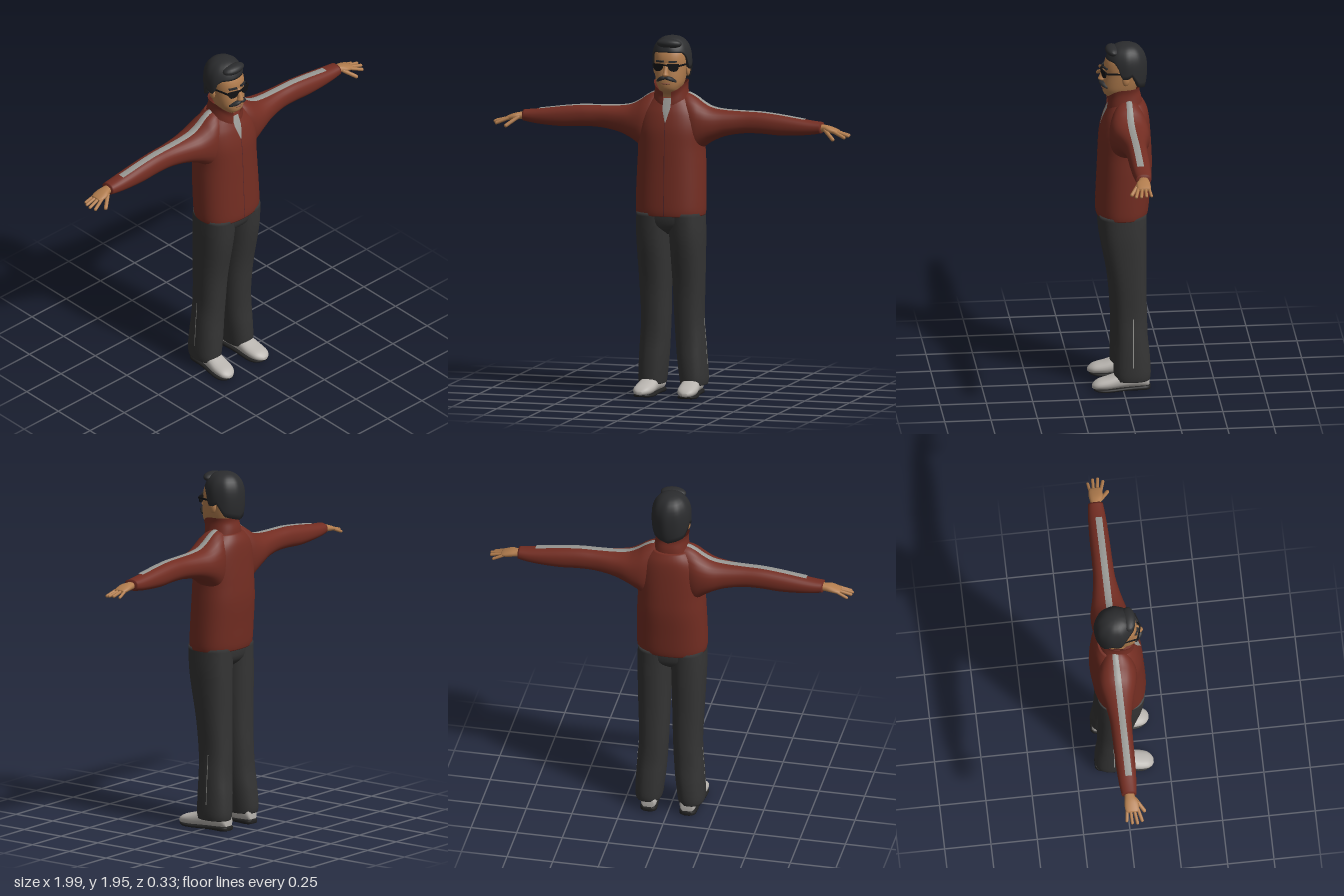
import * as THREE from 'three';
import { mergeVertices } from 'three/addons/utils/BufferGeometryUtils.js';

const TAU = Math.PI * 2;

// Catmull-Rom refinement of section rows
function refine(rows, n = 4) {
  const out = [];
  const at = i => rows[Math.max(0, Math.min(rows.length - 1, i))];
  for (let i = 0; i < rows.length - 1; i++) {
    for (let k = 0; k < n; k++) {
      const t = k / n;
      out.push(rows[i].map((b, j) => {
        const a = at(i - 1)[j], c = at(i + 1)[j], d = at(i + 2)[j];
        return b + 0.5 * t * (c - a + t * (2 * a - 5 * b + 4 * c - d + t * (3 * (b - c) + d - a)));
      }));
    }
  }
  out.push(rows[rows.length - 1]);
  return out;
}

// Surface from a grid of points: fn(row, column) -> [x, y, z]
function grid(nRows, segs, fn) {
  const pos = [], idx = [], w = segs + 1;
  for (let i = 0; i < nRows; i++) for (let j = 0; j <= segs; j++) pos.push(...fn(i, j));
  for (let i = 0; i < nRows - 1; i++) for (let j = 0; j < segs; j++) {
    const a = i * w + j;
    idx.push(a, a + 1, a + w + 1, a, a + w + 1, a + w);
  }
  let g = new THREE.BufferGeometry();
  g.setAttribute('position', new THREE.Float32BufferAttribute(pos, 3));
  g.setIndex(idx);
  g = mergeVertices(g, 1e-5);
  g.computeVertexNormals();
  return g;
}

// Loft of rounded sections [position, aMax, aMin, bMax, bMin] along an axis
function loft(axis, rows, { from = 0, to = TAU, segs = 28, off = 0, p = 2.3, cap = true, tweak } = {}) {
  const list = rows.slice();
  if (cap) {
    const mid = r => [r[0], (r[1] + r[2]) / 2, (r[1] + r[2]) / 2, (r[3] + r[4]) / 2, (r[3] + r[4]) / 2];
    list.unshift(mid(rows[0]));
    list.push(mid(rows[rows.length - 1]));
  }
  const se = v => Math.sign(v) * Math.pow(Math.abs(v) < 1e-9 ? 0 : Math.abs(v), 2 / p);
  return grid(list.length, segs, (i, j) => {
    const [q, a1, a0, b1, b0] = list[i];
    let th = from + (to - from) * j / segs;
    if (axis === 'z') th = -th;
    const a = (a1 + a0) / 2 + ((a1 - a0) / 2 + off) * se(Math.cos(th));
    const b = (b1 + b0) / 2 + ((b1 - b0) / 2 + off) * se(Math.sin(th));
    const pt = axis === 'y' ? [b, q, a] : axis === 'x' ? [q, a, b] : [b, a, q];
    return tweak ? tweak(pt, th) : pt;
  });
}

// Copy reflected across x = 0 with corrected winding
function mirrored(geo) {
  const g = geo.index ? geo.clone() : mergeVertices(geo);
  g.scale(-1, 1, 1);
  const ix = g.index;
  for (let i = 0; i < ix.count; i += 3) {
    const b = ix.getX(i + 1);
    ix.setX(i + 1, ix.getX(i + 2));
    ix.setX(i + 2, b);
  }
  return g;
}

// Rounded finger between two points
function finger(a, b, r) {
  const A = new THREE.Vector3(...a), B = new THREE.Vector3(...b), d = B.clone().sub(A);
  const g = new THREE.CapsuleGeometry(r, d.length(), 4, 10);
  g.applyQuaternion(new THREE.Quaternion().setFromUnitVectors(new THREE.Vector3(0, 1, 0), d.normalize()));
  return g.translate((a[0] + b[0]) / 2, (a[1] + b[1]) / 2, (a[2] + b[2]) / 2);
}

export function createModel() {
  const model = new THREE.Group();
  const mat = (name, color, side = THREE.FrontSide) => {
    const m = new THREE.MeshStandardMaterial({ color, side });
    m.name = name;
    return m;
  };
  const D = THREE.DoubleSide;
  const red = mat('jacket red', 0x732d22, D), dark = mat('trouser charcoal', 0x343434);
  const skin = mat('skin', 0xb27d4e), grey = mat('stripe grey', 0x979793, D);
  const hairM = mat('hair black', 0x2b2c2e, D), black = mat('glasses black', 0x121214);
  const shoeM = mat('shoe off white', 0xb9b5b0), soleM = mat('sole black', 0x222222);
  const lipM = mat('lip brown', 0x85503a), zipM = mat('zip plum', 0x55262a, D);
  const add = (name, geo, m) => {
    const mesh = new THREE.Mesh(geo, m);
    mesh.name = name;
    model.add(mesh);
  };
  const pair = (name, geo, m) => {
    add('left ' + name, geo, m);
    add('right ' + name, mirrored(geo), m);
  };

  // Jacket body, with grey neck panel and zip following its front
  const torso = refine([
    [0.985, 0.135, -0.14, 0.187, -0.187], [1.02, 0.138, -0.147, 0.191, -0.191],
    [1.12, 0.134, -0.155, 0.19, -0.19], [1.25, 0.128, -0.165, 0.186, -0.186],
    [1.35, 0.124, -0.163, 0.181, -0.181], [1.45, 0.117, -0.157, 0.183, -0.183],
    [1.53, 0.098, -0.15, 0.17, -0.17], [1.58, 0.078, -0.14, 0.14, -0.14], [1.62, 0.06, -0.12, 0.1, -0.1]]);
  add('jacket body', loft('y', torso, { segs: 40 }), red);
  add('neck panel', loft('y', torso.filter(r => r[0] > 1.49), {
    from: -0.15, to: 0.15, segs: 4, off: 0.004, cap: false,
    tweak: ([x, y, z], th) => [th / 0.15 * 0.022 * Math.min(1, (y - 1.485) / 0.08), y, z] }), grey);
  add('zip', loft('y', torso.filter(r => r[0] < 1.53), {
    from: -0.1, to: 0.1, segs: 2, off: 0.002, cap: false,
    tweak: ([x, y, z], th) => [th / 0.1 * 0.002, y, z] }), zipM);

  // Stand-up collar, open and lower at the front
  add('collar', loft('y', refine([
    [1.59, 0.075, -0.115, 0.104, -0.104], [1.64, 0.078, -0.11, 0.092, -0.092],
    [1.68, 0.075, -0.1, 0.088, -0.088], [1.708, 0.08, -0.102, 0.093, -0.093]]), {
    from: 0.2, to: TAU - 0.2, segs: 36, cap: false,
    tweak: ([x, y, z], th) => [x, y - 0.055 * Math.max(0, Math.cos(th)) ** 2, z] }), red);

  // Sleeves with a stripe along the top
  const arm = refine([
    [0.06, 1.645, 1.32, 0.05, -0.115], [0.1, 1.64, 1.31, 0.068, -0.125],
    [0.14, 1.62, 1.32, 0.076, -0.135], [0.18, 1.592, 1.352, 0.072, -0.137],
    [0.23, 1.567, 1.385, 0.06, -0.132], [0.3, 1.556, 1.414, 0.04, -0.116],
    [0.4, 1.552, 1.432, 0.02, -0.1], [0.5, 1.55, 1.434, 0.015, -0.096],
    [0.6, 1.54, 1.428, 0.013, -0.095], [0.7, 1.526, 1.432, 0.01, -0.092],
    [0.78, 1.515, 1.44, 0.005, -0.087], [0.835, 1.51, 1.45, 0, -0.08]]);
  pair('sleeve', loft('x', arm), red);
  pair('sleeve stripe', loft('x', arm.filter(r => r[0] > 0.085 && r[0] < 0.76), {
    from: -0.25, to: 0.33, segs: 6, off: 0.004, cap: false,
    tweak: ([x, y, z], th) => [x, y, -0.033 + 0.018 * (th - 0.04) / 0.29] }), grey);

  // Hands
  pair('palm', loft('x', refine([
    [0.8, 1.5, 1.458, -0.015, -0.065], [0.84, 1.497, 1.457, -0.012, -0.066],
    [0.875, 1.492, 1.454, 0.004, -0.071], [0.91, 1.48, 1.451, 0.004, -0.071],
    [0.93, 1.47, 1.453, -0.002, -0.064]]), { segs: 16 }), skin);
  [[0.973, 1.438, 0.014, -0.004], [0.988, 1.444, -0.012, -0.024],
    [0.985, 1.446, -0.04, -0.042], [0.968, 1.44, -0.068, -0.06]].forEach(([x, y, z, z0], i) =>
    pair('finger ' + (i + 1), finger([0.91, 1.464, z0], [x, y, z], 0.0092 - i * 0.0004), skin));
  pair('thumb', finger([0.86, 1.47, -0.01], [0.915, 1.428, 0.032], 0.0105), skin);

  // Trousers
  const leg = refine([
    [0.06, 0.045, -0.145, 0.186, 0.046], [0.1, 0.05, -0.15, 0.19, 0.04],
    [0.2, 0.05, -0.145, 0.186, 0.028], [0.3, 0.047, -0.135, 0.18, 0.02],
    [0.42, 0.052, -0.132, 0.172, 0.014], [0.6, 0.068, -0.128, 0.178, 0.008],
    [0.8, 0.105, -0.13, 0.185, 0.001], [0.9, 0.118, -0.13, 0.187, -0.004], [1, 0.125, -0.13, 0.184, -0.01]]);
  pair('trouser leg', loft('y', leg), dark);
  pair('trouser piping', loft('y', leg.filter(r => r[0] > 0.14 && r[0] < 0.43), {
    from: Math.PI / 2 - 0.08, to: Math.PI / 2 + 0.08, segs: 2, off: 0.002, cap: false,
    tweak: ([x, y, z], th) => [x, y, -0.05 - (th - Math.PI / 2) * 0.03] }), grey);
  add('trouser seat', loft('y', refine([
    [0.88, 0.05, -0.07, 0.1, -0.1], [0.93, 0.112, -0.122, 0.17, -0.17], [1.01, 0.125, -0.13, 0.183, -0.183]])), dark);

  // Shoes with dark soles
  const splay = ([x, y, z]) => [x + 0.07 * (z + 0.02), y, z];
  pair('shoe', loft('z', refine([
    [-0.14, 0.07, 0.02, 0.145, 0.085], [-0.12, 0.1, 0.014, 0.158, 0.07],
    [-0.04, 0.12, 0.014, 0.16, 0.066], [0.02, 0.1, 0.014, 0.164, 0.062],
    [0.08, 0.078, 0.012, 0.168, 0.058], [0.13, 0.064, 0.012, 0.162, 0.064],
    [0.155, 0.05, 0.015, 0.148, 0.08], [0.168, 0.036, 0.02, 0.128, 0.1]]), { segs: 20, tweak: splay }), shoeM);
  pair('sole', loft('z', refine([
    [-0.148, 0.026, 0.004, 0.14, 0.09], [-0.12, 0.028, 0, 0.16, 0.068],
    [-0.03, 0.022, 0.002, 0.158, 0.068], [0.08, 0.018, 0, 0.168, 0.058],
    [0.13, 0.018, 0.002, 0.16, 0.066], [0.158, 0.02, 0.008, 0.14, 0.088]]), { segs: 16, p: 4, tweak: splay }), soleM);

  // Head and neck
  add('head', loft('y', refine([
    [1.57, 0.035, -0.075, 0.058, -0.058], [1.63, 0.046, -0.075, 0.06, -0.06],
    [1.652, 0.074, -0.075, 0.056, -0.056], [1.67, 0.094, -0.075, 0.06, -0.06],
    [1.7, 0.1, -0.085, 0.073, -0.073], [1.74, 0.098, -0.1, 0.081, -0.081],
    [1.79, 0.09, -0.11, 0.087, -0.087], [1.83, 0.09, -0.115, 0.089, -0.089],
    [1.87, 0.077, -0.11, 0.085, -0.085], [1.91, 0.045, -0.085, 0.06, -0.06]]), { segs: 32 }), skin);
  add('nose', loft('y', refine([
    [1.738, 0.105, 0.08, 0.012, -0.012], [1.748, 0.124, 0.08, 0.018, -0.018],
    [1.765, 0.118, 0.08, 0.013, -0.013], [1.81, 0.096, 0.075, 0.009, -0.009]]), { segs: 14, p: 2 }), skin);
  pair('ear', new THREE.SphereGeometry(1, 14, 10).scale(0.012, 0.032, 0.02).translate(0.09, 1.765, -0.018), skin);
  add('lips', new THREE.SphereGeometry(1, 14, 8).scale(0.026, 0.006, 0.012).translate(0, 1.702, 0.094), lipM);

  // Hair: cap whose lower edge rises over the forehead and drops at the nape
  const edge = [[0, 1.868], [0.85, 1.865], [1.1, 1.84], [1.3, 1.775], [1.6, 1.775], [1.8, 1.79], [2.2, 1.72], [Math.PI, 1.695]];
  const edgeY = a => {
    const i = Math.max(1, edge.findIndex(e => e[0] >= a - 1e-9));
    const [a0, y0] = edge[i - 1], [a1, y1] = edge[i];
    return y0 + (y1 - y0) * (a - a0) / (a1 - a0);
  };
  add('hair', grid(15, 56, (i, j) => {
    const th = j / 56 * TAU, y0 = edgeY(Math.min(th, TAU - th));
    const t = Math.max(0, i - 1) / 13, y = y0 + (1.948 - y0) * Math.sin(t * Math.PI / 2);
    const u = Math.abs(y - 1.81) / (y > 1.81 ? 0.138 : 0.2);
    let r = Math.pow(Math.max(0, 1 - u ** 2.5), 1 / 2.5);
    if (i === 0) r *= 0.82;
    const wave = 1 + 0.012 * Math.sin(th * 9) * t * (1 - t) * 4;
    return [0.107 * r * wave * Math.sin(th), y, -0.027 + 0.113 * r * wave * Math.cos(th)];
  }), hairM);
  add('quiff', new THREE.SphereGeometry(1, 20, 12).scale(0.07, 0.027, 0.04).rotateX(-0.15).translate(0.005, 1.912, 0.045), hairM);

  // Moustache and brows
  pair('moustache', loft('x', refine([
    [0, 1.743, 1.726, 0.117, 0.085], [0.018, 1.743, 1.721, 0.12, 0.08],
    [0.038, 1.735, 1.713, 0.108, 0.07], [0.055, 1.719, 1.708, 0.088, 0.06]]), { segs: 14 }), hairM);
  pair('brow', new THREE.BoxGeometry(0.045, 0.009, 0.014).rotateY(0.4).translate(0.036, 1.821, 0.086), hairM);

  // Sunglasses
  const lens = new THREE.Shape();
  lens.moveTo(-0.03, 0.019);
  lens.lineTo(0.032, 0.019);
  lens.quadraticCurveTo(0.034, -0.02, 0.008, -0.021);
  lens.quadraticCurveTo(-0.026, -0.023, -0.03, 0.019);
  pair('lens', new THREE.ExtrudeGeometry(lens, { depth: 0.007, bevelEnabled: false, curveSegments: 8 })
    .rotateY(0.3).translate(0.039, 1.79, 0.094), black);
  add('glasses bridge', new THREE.BoxGeometry(0.03, 0.008, 0.008).translate(0, 1.803, 0.107), black);
  pair('glasses temple', new THREE.BoxGeometry(0.006, 0.009, 0.11).rotateY(-0.2).translate(0.083, 1.8, 0.038), black);

  return model;
}
